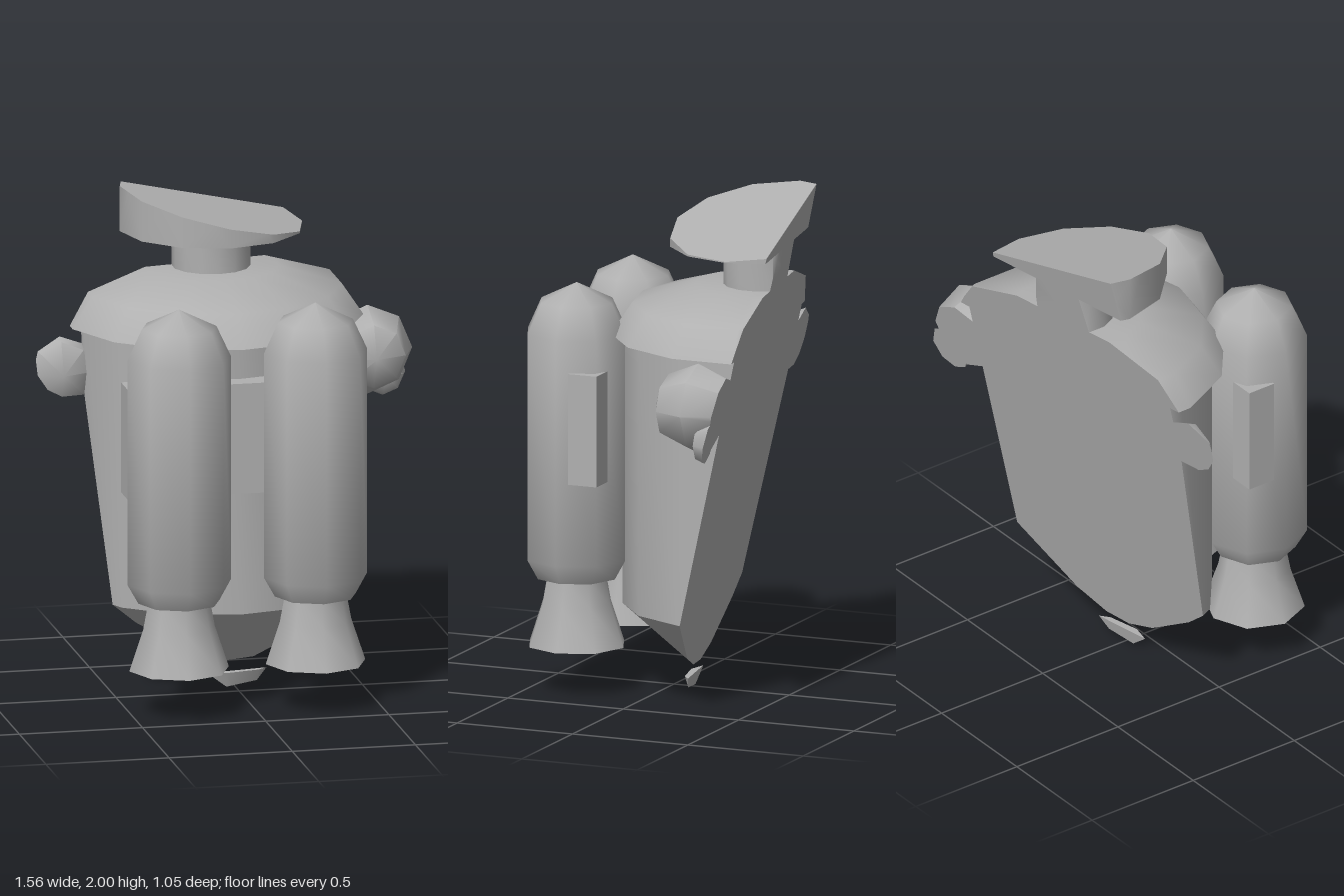
import * as THREE from 'three';
import { toCreasedNormals } from 'three/addons/utils/BufferGeometryUtils.js';

const CX = -0.035, CZ = -0.37; // main axis of the body
const CREASE = 0.9;

// Planes: the side the normal points to is kept
const BACK = new THREE.Plane(new THREE.Vector3(0.17, 0.216, 1), 0.083);
const HAT_TOP = new THREE.Plane(new THREE.Vector3(-0.244, -1, -0.045), 1.886);
BACK.normalize();
HAT_TOP.normalize();

// Cut a convex solid with a plane and close the cut with a flat face
function slice(geometry, plane) {
  const g = geometry.index ? geometry.toNonIndexed() : geometry;
  const p = g.attributes.position;
  const out = [], rim = [];
  const ab = new THREE.Vector3(), ac = new THREE.Vector3();
  const addTri = (a, b, c) => {
    ab.subVectors(b, a);
    ac.subVectors(c, a);
    if (ab.cross(ac).length() < 1e-8) return;
    for (const v of [a, b, c]) out.push(v.x, v.y, v.z);
  };
  for (let i = 0; i < p.count; i += 3) {
    const tri = [0, 1, 2].map(k => new THREE.Vector3().fromBufferAttribute(p, i + k));
    const poly = [];
    tri.forEach((a, k) => {
      const b = tri[(k + 1) % 3];
      const da = plane.distanceToPoint(a), db = plane.distanceToPoint(b);
      if (da >= 0) poly.push(a);
      if ((da >= 0) !== (db >= 0)) {
        const q = a.clone().lerp(b, da / (da - db));
        poly.push(q);
        rim.push(q);
      }
    });
    for (let k = 1; k + 1 < poly.length; k++) addTri(poly[0], poly[k], poly[k + 1]);
  }
  if (rim.length) {
    const mid = rim.reduce((s, v) => s.add(v), new THREE.Vector3()).divideScalar(rim.length);
    const n = plane.normal.clone().negate();
    const u = new THREE.Vector3(1, 0, 0).cross(n).normalize();
    const w = n.clone().cross(u);
    const angle = v => {
      const d = v.clone().sub(mid);
      return Math.atan2(d.dot(w), d.dot(u));
    };
    rim.sort((a, b) => angle(a) - angle(b));
    rim.forEach((v, k) => addTri(mid, v, rim[(k + 1) % rim.length]));
  }
  const result = new THREE.BufferGeometry();
  result.setAttribute('position', new THREE.Float32BufferAttribute(out, 3));
  return result;
}

const lathe = (points, sides) =>
  new THREE.LatheGeometry(points.map(([r, y]) => new THREE.Vector2(r, y)), sides);

export function createModel() {
  const group = new THREE.Group();
  const grey = new THREE.MeshStandardMaterial({ color: 0xb0b0b0 });
  grey.name = 'plain grey';

  const add = (name, geometry) => {
    const mesh = new THREE.Mesh(toCreasedNormals(geometry, CREASE), grey);
    mesh.name = name;
    group.add(mesh);
    return mesh;
  };
  // Turned part on the main axis, cut flat at the back
  const addTurned = (name, points, sides = 14) =>
    add(name, slice(lathe(points, sides).translate(CX, 0, CZ), BACK));

  // Body
  addTurned('shoulders', [[0, 1.46], [0.605, 1.46], [0.52, 1.585], [0.27, 1.66], [0, 1.66]]);
  addTurned('torso', [[0, 0.365], [0.557, 0.365], [0.557, 1.46], [0, 1.46]]);
  addTurned('lowerCone', [[0, -0.135], [0.557, 0.365], [0, 0.365]]);
  addTurned('baseSliver', [[0, -0.135], [0.25, -0.135], [0.31, 0.065], [0, 0.065]]);
  addTurned('neck', [[0, 1.66], [0.157, 1.66], [0.157, 1.82], [0, 1.82]]);

  // Head slab with a slanted top
  const slab = lathe([[0, 1.817], [0.37, 1.817], [0.37, 2.1], [0, 2.1]], 12).translate(CX, 0, CZ);
  add('slantedHead', slice(slice(slab, HAT_TOP), BACK));

  // Hands and the one thumb left by the cut
  const ball = (r, x, y, z) =>
    slice(new THREE.SphereGeometry(r, 8, 4).rotateX(Math.PI / 2).translate(x, y, z), BACK);
  for (const [side, s] of [['left', 1], ['right', -1]]) {
    add(side + 'Hand', ball(0.182, CX + s * 0.635, 1.28, CZ));
  }
  add('leftThumb', ball(0.11, 0.675, 1.16, -0.49));

  // Twin tanks with hollow nozzles
  for (const [side, s] of [['left', 1], ['right', -1]]) {
    const tank = add(side + 'Tank', lathe([
      [0, 0.465], [0.165, 0.465], [0.21, 0.545], [0.21, 1.46], [0.152, 1.585], [0, 1.66],
    ], 8));
    const nozzle = add(side + 'Nozzle', lathe([
      [0, 0.45], [0.1, 0.45], [0.118, 0.36], [0.178, 0.19],
      [0.202, 0.19], [0.145, 0.36], [0.125, 0.467],
    ], 8));
    for (const mesh of [tank, nozzle]) mesh.position.set(CX + s * 0.277, 0, 0.315);
  }

  // Strap joining the tanks to the torso
  add('tankBracket', new THREE.BoxGeometry(0.95, 0.45, 0.123).translate(CX, 1.105, 0.204));

  return group;
}
